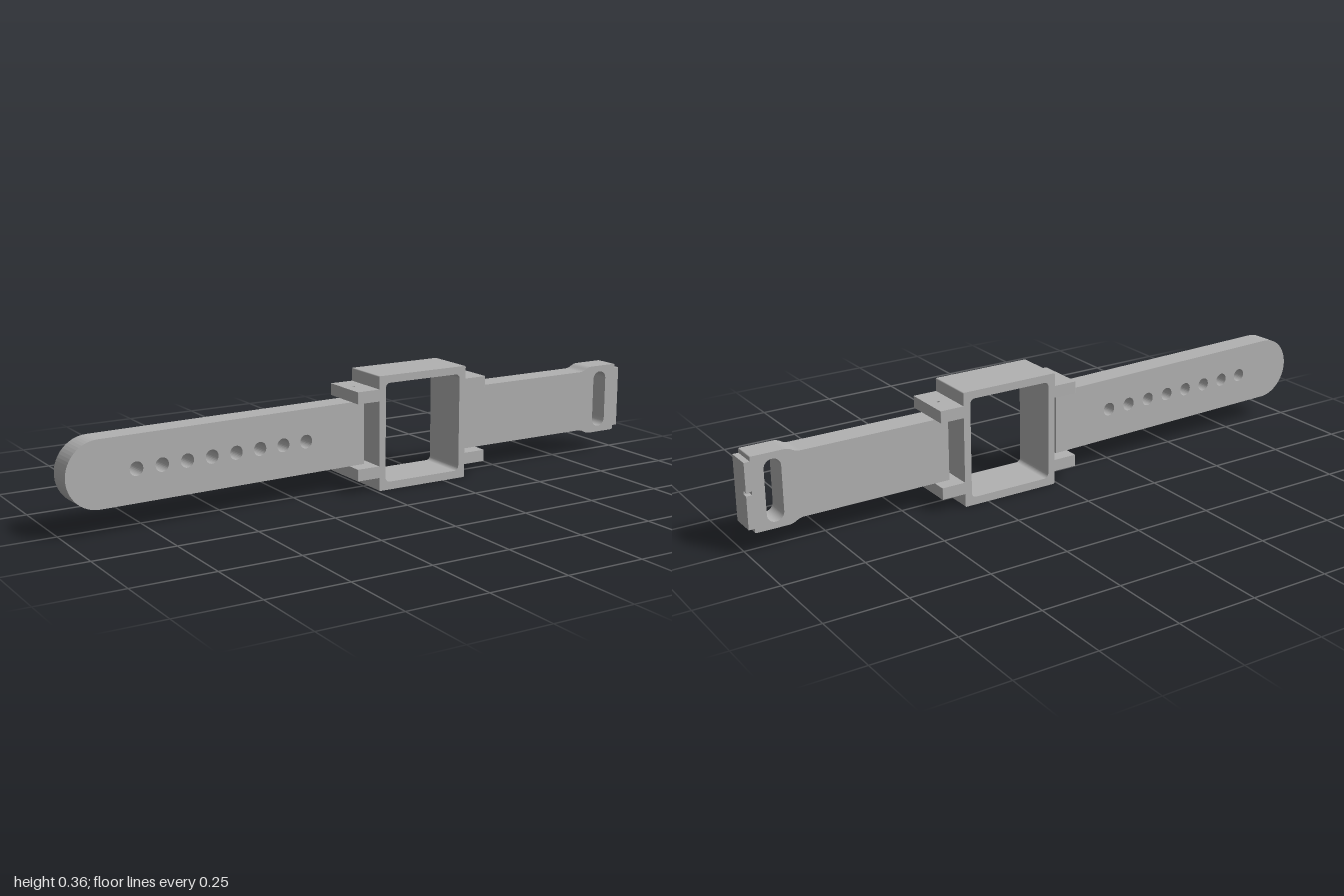
import * as THREE from 'three';

const CY = 0.181; // height of the centre line

const gray = new THREE.MeshStandardMaterial({ color: 0xb2b2b2 });
gray.name = 'plain gray';

function add(parent, name, geometry) {
  const mesh = new THREE.Mesh(geometry, gray);
  mesh.name = name;
  parent.add(mesh);
  return mesh;
}

// Rounded rectangle outline, usable as a shape or a hole
function roundRect(x0, y0, x1, y1, r, Type = THREE.Shape) {
  const s = new Type();
  s.absarc(x1 - r, y0 + r, r, -Math.PI / 2, 0);
  s.absarc(x1 - r, y1 - r, r, 0, Math.PI / 2);
  s.absarc(x0 + r, y1 - r, r, Math.PI / 2, Math.PI);
  s.absarc(x0 + r, y0 + r, r, Math.PI, Math.PI * 1.5);
  s.closePath();
  return s;
}

function slab(shape, z0, z1) {
  const g = new THREE.ExtrudeGeometry(shape, { depth: z1 - z0, bevelEnabled: false, curveSegments: 16 });
  return g.translate(0, 0, z0);
}

function box(x0, x1, y0, y1, z0, z1) {
  return new THREE.BoxGeometry(x1 - x0, y1 - y0, z1 - z0)
    .translate((x0 + x1) / 2, (y0 + y1) / 2, (z0 + z1) / 2);
}

export function createModel() {
  const model = new THREE.Group();
  model.name = 'watchBand';

  // Open rectangular case
  const frame = roundRect(0.01, 0, 0.33, 0.361, 0.004);
  frame.holes.push(roundRect(0.033, 0.025, 0.307, 0.337, 0.015, THREE.Path));
  add(model, 'caseFrame', slab(frame, -0.083, 0.077));

  // Four lugs, each with a fine pin hole running along y
  for (const [side, x0, x1, pinX] of [['right', -0.067, 0.012, -0.03], ['left', 0.328, 0.407, 0.372]]) {
    for (const [level, y0] of [['Upper', CY + 0.102], ['Lower', CY - 0.139]]) {
      const shape = roundRect(x0, -0.077, x1, 0.083, 0.002);
      const pin = new THREE.Path();
      pin.absarc(pinX, 0.008, 0.005, 0, Math.PI * 2);
      shape.holes.push(pin);
      const lug = slab(shape, 0, 0.037).rotateX(-Math.PI / 2).translate(0, y0, 0);
      add(model, side + level + 'Lug', lug);
    }
  }

  // Long strap with round tip and eight holes, swung slightly forward
  const strap = new THREE.Shape();
  strap.moveTo(0.01, -0.1);
  strap.lineTo(0.01, 0.1);
  strap.lineTo(-0.87, 0.1);
  strap.absarc(-0.87, 0, 0.1, Math.PI / 2, Math.PI * 1.5);
  strap.closePath();
  for (let i = 0; i < 8; i++) {
    const hole = new THREE.Path();
    hole.absarc(-0.199 - i * 0.0797, 0, 0.021, 0, Math.PI * 2);
    strap.holes.push(hole);
  }
  const longStrap = add(model, 'longStrap', slab(strap, -0.038, 0.038));
  longStrap.position.set(-0.03, CY, -0.005);
  longStrap.rotation.y = 0.045;

  // Short strap that widens into a slotted buckle end
  const buckle = new THREE.Shape();
  buckle.moveTo(0.36, -0.1);
  buckle.lineTo(0.83, -0.1);
  buckle.bezierCurveTo(0.855, -0.1, 0.855, -0.114, 0.88, -0.114);
  buckle.lineTo(0.976, -0.114);
  buckle.quadraticCurveTo(0.98, -0.114, 0.98, -0.11);
  buckle.lineTo(0.98, 0.11);
  buckle.quadraticCurveTo(0.98, 0.114, 0.976, 0.114);
  buckle.lineTo(0.88, 0.114);
  buckle.bezierCurveTo(0.855, 0.114, 0.855, 0.1, 0.83, 0.1);
  buckle.lineTo(0.36, 0.1);
  buckle.closePath();
  buckle.holes.push(roundRect(0.89, -0.094, 0.942, 0.094, 0.0255, THREE.Path));
  add(model, 'shortStrap', slab(buckle, -0.043, 0.035)).position.y = CY;

  // End lip with a small notch at the back
  const lip = new THREE.Group();
  lip.name = 'endLip';
  lip.position.y = CY;
  model.add(lip);
  add(lip, 'lipFront', box(0.979, 0.998, -0.1, 0.1, -0.026, 0.035));
  add(lip, 'lipUpper', box(0.979, 0.998, 0.012, 0.1, -0.043, -0.026));
  add(lip, 'lipLower', box(0.979, 0.998, -0.1, 0.001, -0.043, -0.026));

  return model;
}
